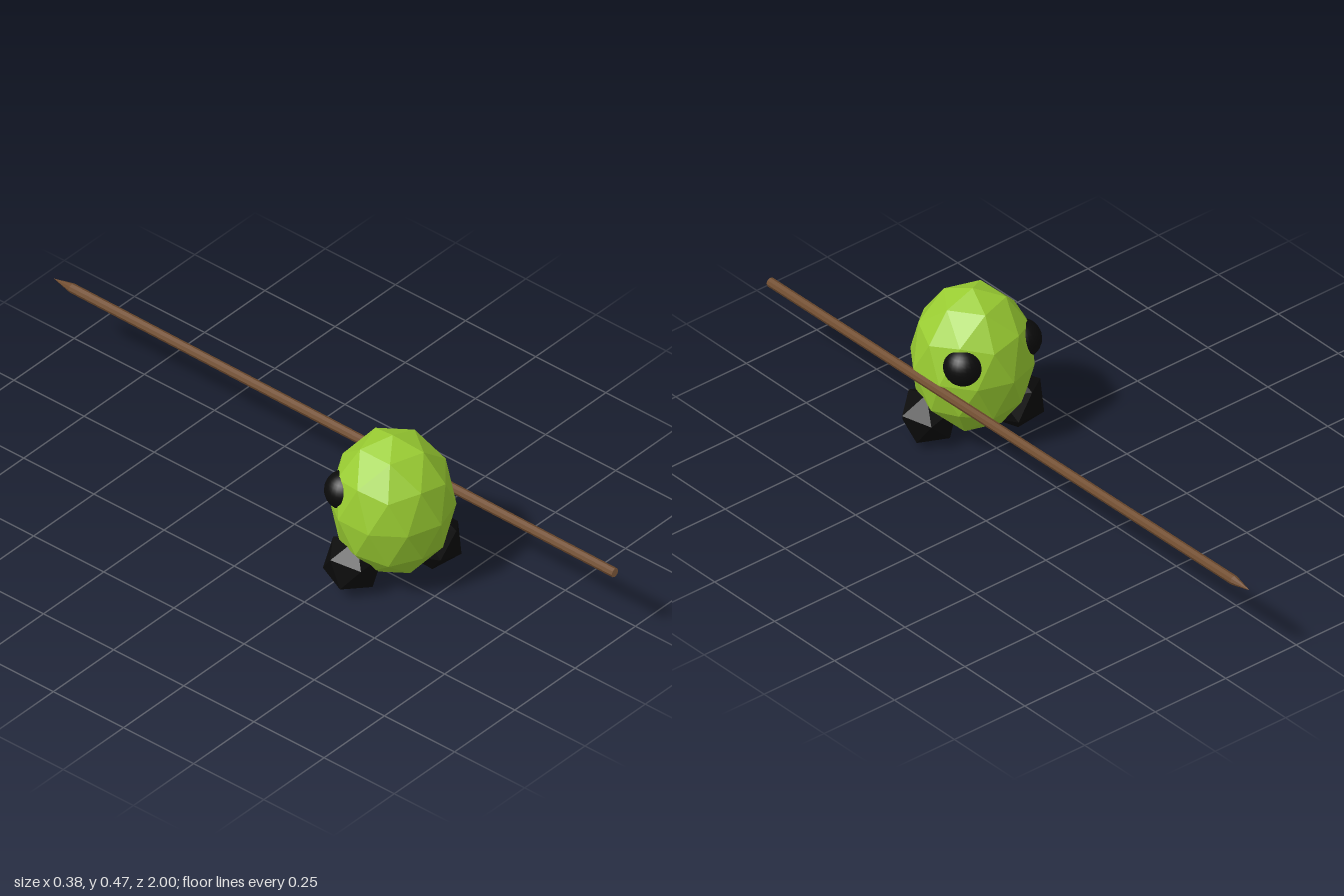
import * as THREE from 'three';

const flat = (name, color) => {
  const m = new THREE.MeshStandardMaterial({ color, flatShading: true });
  m.name = name;
  return m;
};

export function createModel() {
  const model = new THREE.Group();
  model.name = 'roundCreatureWithSpear';

  const green = flat('leafGreen', 0x9acd32);
  const black = flat('black', 0x0b0b0b);
  const wood = flat('darkWood', 0x704c2e);
  const cutWood = flat('cutWood', 0x926845);

  const add = (name, geometry, material, x, y, z, parent = model) => {
    const mesh = new THREE.Mesh(geometry, material);
    mesh.name = name;
    mesh.position.set(x, y, z);
    parent.add(mesh);
    return mesh;
  };

  // Egg-shaped body: faceted sphere with one vertex at the top
  const bodyGeo = new THREE.IcosahedronGeometry(1, 1);
  bodyGeo.rotateZ(-Math.atan(2 / (1 + Math.sqrt(5))));
  bodyGeo.scale(0.173, 0.22, 0.173);
  add('body', bodyGeo, green, 0, 0.25, 0.35);

  // Feet: twenty-sided stones, one stepping ahead of the other
  const foot = (name, turn, x, y, z) => {
    const geo = new THREE.IcosahedronGeometry(0.0865, 0);
    geo.rotateY(-Math.PI / 4);
    geo.rotateX(Math.atan(Math.SQRT1_2));
    geo.rotateZ(THREE.MathUtils.degToRad(turn));
    add(name, geo, black, x, y, z);
  };
  foot('leftFoot', 21.4, 0.111, 0.083, 0.4);
  foot('rightFoot', -20.2, -0.113, 0.085, 0.305);

  // Eyes: smooth balls sunk into the body, looking towards -z
  const eyeBlack = new THREE.MeshStandardMaterial({ color: 0x0b0b0b });
  eyeBlack.name = 'eyeBlack';
  const eyeGeo = new THREE.SphereGeometry(0.056, 24, 16);
  for (const side of [1, -1]) {
    add(side > 0 ? 'leftEye' : 'rightEye', eyeGeo, eyeBlack, side * 0.103, 0.304, 0.267);
  }

  // Spear: long shaft rising slightly towards its point at -z
  const spear = new THREE.Group();
  spear.name = 'spear';
  spear.position.set(0.165, 0.228, 1);
  spear.rotation.x = -Math.PI / 2 + 0.011;
  model.add(spear);
  const shaftLength = 1.935, tipLength = 0.065, radius = 0.0138;
  add('spearShaft', new THREE.CylinderGeometry(radius, radius, shaftLength, 8),
    [wood, wood, cutWood], 0, shaftLength / 2, 0, spear);
  add('spearTip', new THREE.ConeGeometry(radius, tipLength, 8, 1, true),
    wood, 0, shaftLength + tipLength / 2, 0, spear);

  return model;
}
